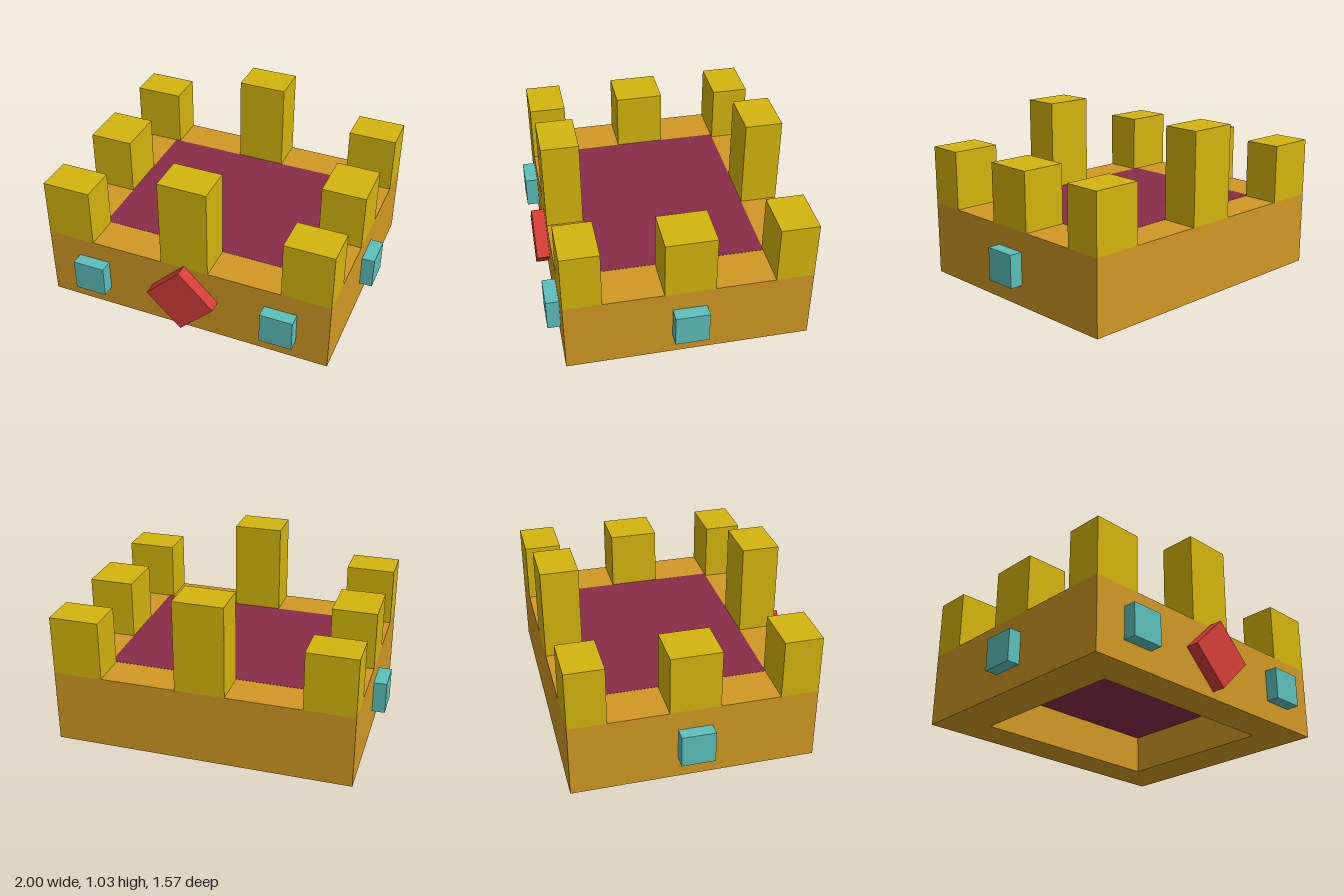
import * as THREE from 'three';

const mat = (name, color) => Object.assign(new THREE.MeshStandardMaterial({ color }), { name });

export function createModel() {
  const model = new THREE.Group();
  model.name = 'crown';
  const band = mat('amber gold', 0xd09823);
  const gold = mat('yellow gold', 0xd4b40d);
  const teal = mat('teal gem', 0x5cbfbb);
  const red = mat('red gem', 0xd43d38);
  const velvet = mat('plum velvet', 0x882c4a);

  // Outer and inner limits of the band
  const X = 0.92, XI = 0.645, H = 0.46;
  const back = -0.785, front = 0.705, T = 0.23;

  // Box given by its minimum and maximum corners
  function box(name, material, [x0, y0, z0], [x1, y1, z1]) {
    const mesh = new THREE.Mesh(new THREE.BoxGeometry(x1 - x0, y1 - y0, z1 - z0), material);
    mesh.position.set((x0 + x1) / 2, (y0 + y1) / 2, (z0 + z1) / 2);
    mesh.name = name;
    model.add(mesh);
    return mesh;
  }

  // Rectangular band, open through the middle
  const rect = (C, x, z0, z1) => new C([[-x, -z1], [x, -z1], [x, -z0], [-x, -z0]]
    .map(([a, b]) => new THREE.Vector2(a, b)));
  const ring = rect(THREE.Shape, X, back, front);
  ring.holes.push(rect(THREE.Path, XI, back + T, front - T));
  const ringGeometry = new THREE.ExtrudeGeometry(ring, { depth: H, bevelEnabled: false });
  ringGeometry.rotateX(-Math.PI / 2);
  const bandMesh = new THREE.Mesh(ringGeometry, band);
  bandMesh.name = 'band';
  model.add(bandMesh);

  // Velvet lining filling the upper half of the opening
  box('lining', velvet, [-XI, 0.25, back + T], [XI, H + 0.001, front - T]);

  // Front and back points: a tall centre between two corners
  for (const [side, z] of [['front', front - T], ['back', back]]) {
    box(side + 'CentrePoint', gold, [-0.153, H, z], [0.153, 1.03, z + T]);
    box(side + 'LeftPoint', gold, [0.615, H, z], [X, 0.825, z + T]);
    box(side + 'RightPoint', gold, [-X, H, z], [-0.615, 0.825, z + T]);
  }

  // Side points and square gems, mirrored
  for (const s of [1, -1]) {
    const side = s > 0 ? 'left' : 'right';
    const span = (a, b) => (s > 0 ? [a, b] : [-b, -a]);
    const [p0, p1] = span(XI, X);
    box(side + 'SidePoint', gold, [p0, H, -0.193], [p1, 0.825, 0.113]);
    const [g0, g1] = span(X, 1);
    box(side + 'SideGem', teal, [g0, 0.133, -0.143], [g1, 0.336, 0.063]);
    const [f0, f1] = span(0.514, 0.718);
    box(side + 'FrontGem', teal, [f0, 0.133, front], [f1, 0.336, 0.785]);
  }

  // Diamond-set centre gem
  const r = 0.217 / Math.SQRT2;
  const gem = box('centreGem', red, [-r, 0.259 - r, front], [r, 0.259 + r, 0.785]);
  gem.rotation.z = Math.PI / 4;

  return model;
}
